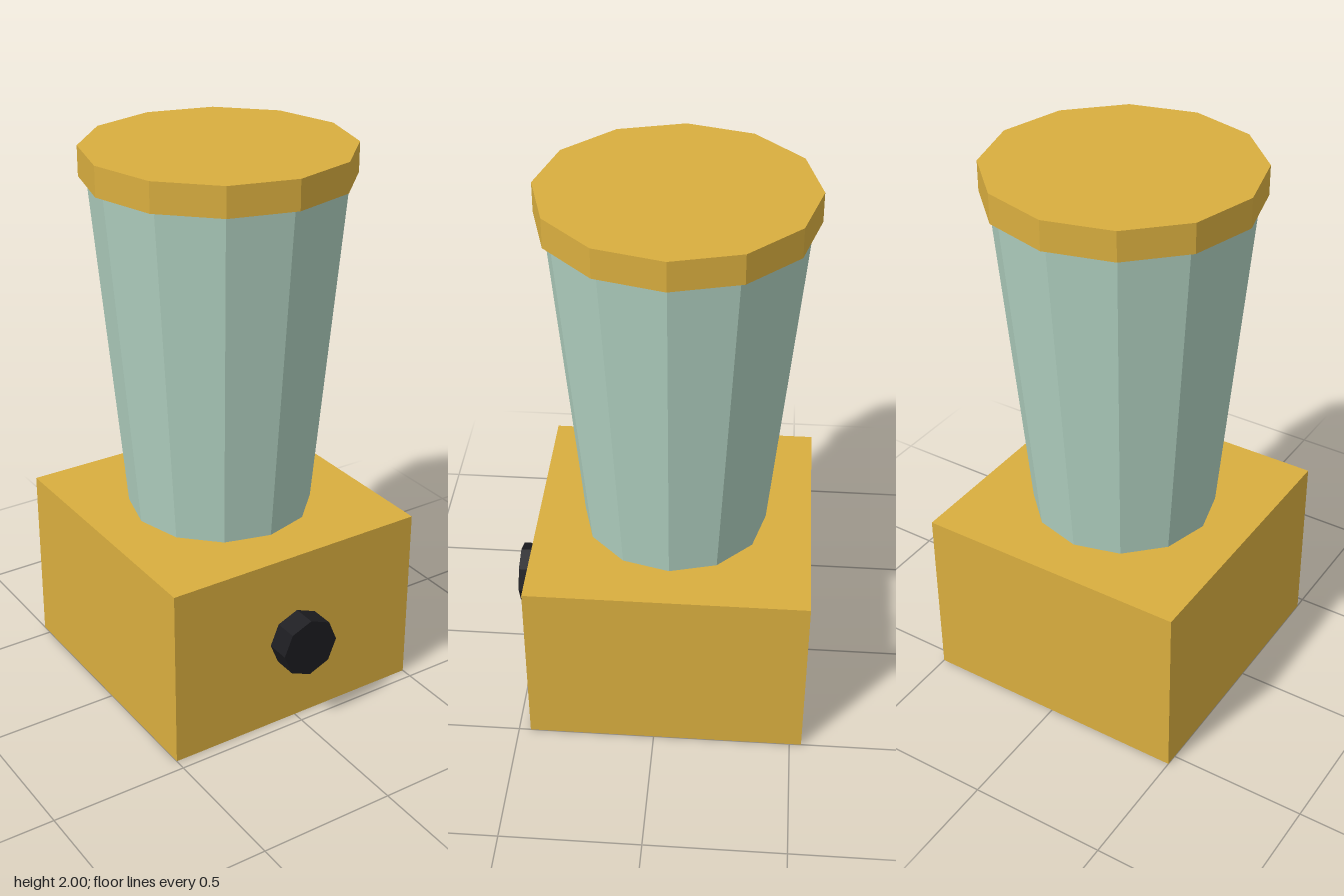
import * as THREE from 'three';

export function createModel() {
  const model = new THREE.Group();
  const mat = (color) => new THREE.MeshStandardMaterial({ color, flatShading: true });
  const gold = mat(0xd9ae3f), glass = mat(0xb0d0c0), black = mat(0x1c1c20);
  const axisZ = -0.043; // the body sits slightly back, balancing the knob

  const add = (name, geometry, material, y, z = axisZ) => {
    const mesh = new THREE.Mesh(geometry, material);
    mesh.name = name;
    mesh.position.set(0, y, z);
    model.add(mesh);
    return mesh;
  };

  // Square motor base
  add('base', new THREE.BoxGeometry(1, 0.667, 1), gold, 0.3335);

  // Tapered twelve-sided jar and its overhanging lid
  add('jar', new THREE.CylinderGeometry(0.444, 0.333, 1.228, 12), glass, 1.281);
  add('lid', new THREE.CylinderGeometry(0.47, 0.47, 0.105, 12), gold, 1.9475);

  // Octagonal control knob on the front
  const knob = add('knob', new THREE.CylinderGeometry(0.11, 0.11, 0.168, 8), black, 0.335, 0.459);
  knob.rotation.x = Math.PI / 2;

  return model;
}
